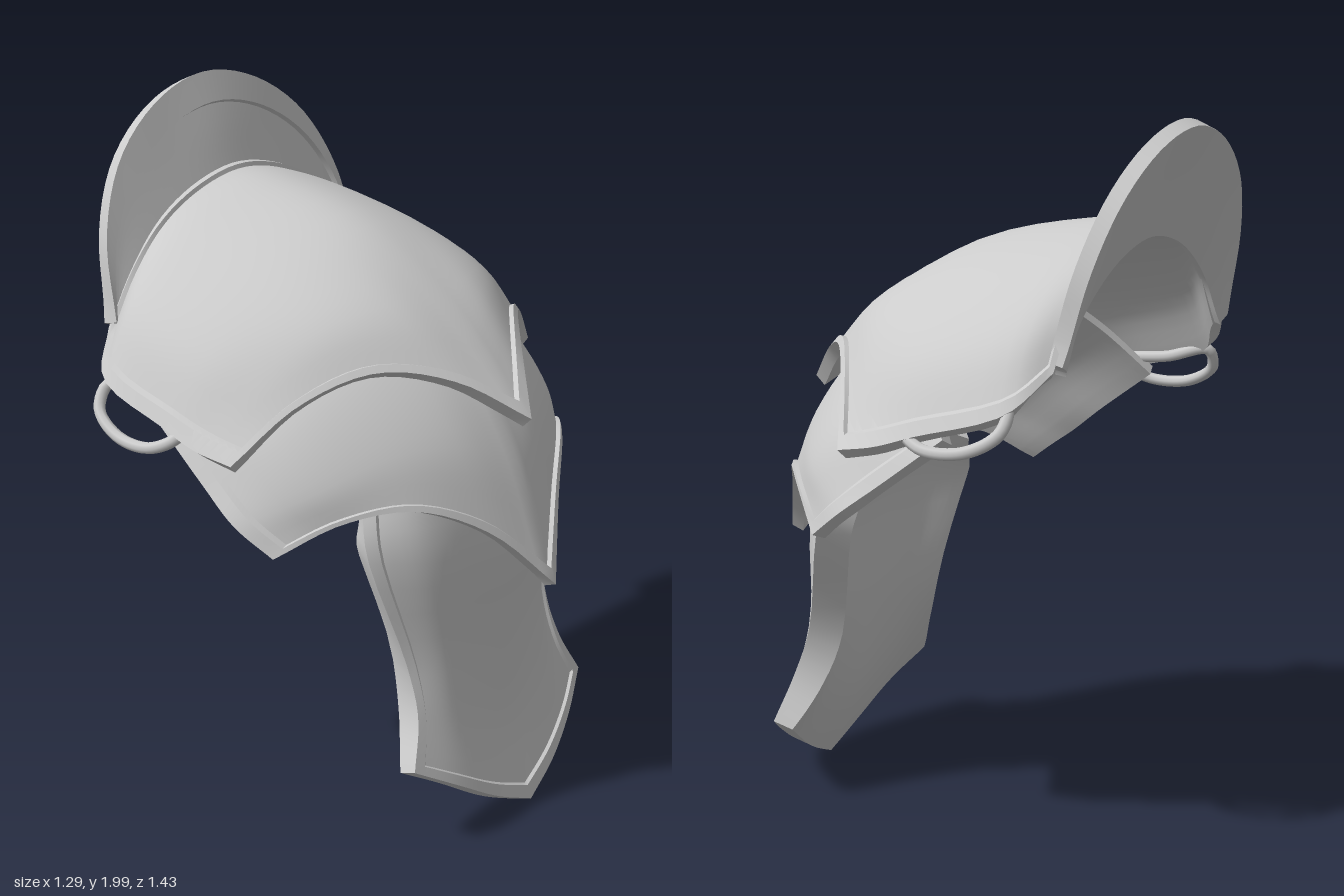
import * as THREE from 'three';
import { toCreasedNormals } from 'three/addons/utils/BufferGeometryUtils.js';

const material = new THREE.MeshStandardMaterial({ color: 0xcccccc, side: THREE.DoubleSide });

// Grid parameters over a..b, with a tight step near each end for the raised rim
function steps(a, b, n, rim) {
  const s = 0.008 * (b - a), list = [a, a + rim];
  for (let i = 0; i <= n; i++) list.push(a + rim + s + ((b - a - 2 * (rim + s)) * i) / n);
  return [...list, b - rim, b];
}

// Half cross-section curve from the ridge outwards; smooth ones run round over the ridge
function section(row, smooth) {
  const pts = row.map(p => new THREE.Vector3(...p));
  if (smooth) pts.unshift(pts[1].clone().multiply(new THREE.Vector3(1, 1, -1)));
  const curve = new THREE.CatmullRomCurve3(pts), start = smooth ? 1 : 0;
  return u => curve.getPoint((start + Math.min(1, u) * (row.length - 1)) / (pts.length - 1));
}

// Closed curved plate, mirrored across z = 0. The last few rows may come to a point at
// the ridge. Rows run so that the outer face lies on the u x v side.
function plate(name, rows, { thick, bump, pointed = 0, rimU = 0.05, rimV = 0.04, edges = [1, 1, 1] }) {
  const curves = rows.map((r, i) => section(r, i < rows.length - pointed));
  const at = (u, v) => {
    const p = new THREE.CatmullRomCurve3(curves.map(c => c(Math.abs(u)))).getPoint(v);
    if (u < 0) p.z = -p.z;
    return p;
  };
  const normal = (u, v) => {
    const e = 0.015, a = THREE.MathUtils.clamp(u, -1 + e, 1 - e), b = THREE.MathUtils.clamp(v, e, 1 - e);
    const du = at(a + e, b).sub(at(a - e, b)), dv = at(a, b + e).sub(at(a, b - e));
    return du.cross(dv).normalize();
  };
  const us = steps(-1, 1, 36, rimU), vs = steps(0, 1, 16, rimV);
  const n = us.length, m = vs.length, top = [], under = [], index = [];
  us.forEach((u, i) => vs.forEach((v, j) => {
    const p = at(u, v), d = normal(u, v);
    const side = edges[0] && (i < 2 || i > n - 3);
    const rim = side || (edges[1] && j < 2) || (edges[2] && j > m - 3);
    top.push(...p.clone().addScaledVector(d, rim ? 0 : -bump).toArray());
    under.push(...p.addScaledVector(d, -thick(v)).toArray());
  }));
  const id = (i, j) => i * m + j, off = n * m;
  const quad = (a, b, c, d) => index.push(a, b, c, a, c, d);
  for (let i = 0; i < n - 1; i++) for (let j = 0; j < m - 1; j++) {
    const a = id(i, j), b = id(i + 1, j), c = id(i + 1, j + 1), d = id(i, j + 1);
    quad(a, b, c, d);
    quad(d + off, c + off, b + off, a + off);
  }
  const wall = (p, q) => quad(q, p, p + off, q + off);
  for (let i = 0; i < n - 1; i++) {
    wall(id(i, 0), id(i + 1, 0));
    wall(id(i + 1, m - 1), id(i, m - 1));
  }
  for (let j = 0; j < m - 1; j++) {
    wall(id(n - 1, j), id(n - 1, j + 1));
    wall(id(0, j + 1), id(0, j));
  }
  const geo = new THREE.BufferGeometry();
  geo.setAttribute('position', new THREE.Float32BufferAttribute([...top, ...under], 3));
  geo.setIndex(index);
  const mesh = new THREE.Mesh(toCreasedNormals(geo, 0.6), material);
  mesh.name = name;
  return mesh;
}

export function createModel() {
  const model = new THREE.Group();
  model.name = 'shoulderArmor';

  // Shoulder plates lean very slightly about the x axis
  const shoulder = new THREE.Group();
  shoulder.name = 'shoulder';
  shoulder.rotation.x = 0.03;
  shoulder.position.z = -1.4 * Math.sin(0.03);
  model.add(shoulder);

  // Upper plate with a scalloped, pointed front edge
  shoulder.add(plate('upperPlate', [
    [[-.52, 1.74, 0], [-.52, 1.71, .17], [-.515, 1.64, .32], [-.51, 1.53, .44], [-.51, 1.38, .54]],
    [[-.36, 1.73, 0], [-.38, 1.69, .2], [-.40, 1.60, .39], [-.41, 1.46, .55], [-.43, 1.28, .65]],
    [[0, 1.645, 0], [-.02, 1.61, .2], [-.06, 1.52, .4], [-.12, 1.38, .58], [-.18, 1.2, .685]],
    [[.3, 1.45, 0], [.24, 1.48, .18], [.15, 1.45, .36], [.05, 1.33, .54], [-.06, 1.16, .69]],
    [[.56, 1.18, 0], [.42, 1.3, .15], [.28, 1.345, .32], [.16, 1.28, .5], [.06, 1.135, .675]],
  ], { thick: () => 0.04, bump: 0.012, pointed: 2 }));

  // Lower plate tucked under the upper one
  shoulder.add(plate('lowerPlate', [
    [[.05, 1.56, 0], [.02, 1.53, .18], [-.04, 1.45, .36], [-.13, 1.33, .53], [-.24, 1.19, .64]],
    [[.33, 1.35, 0], [.28, 1.35, .17], [.19, 1.31, .37], [.09, 1.18, .57], [-.06, 1.05, .66]],
    [[.51, 1.08, 0], [.45, 1.13, .17], [.35, 1.13, .36], [.23, 1.05, .55], [.06, .96, .67]],
    [[.645, .71, 0], [.54, .89, .16], [.425, .985, .34], [.3, .97, .5], [.165, .88, .635]],
  ], { thick: () => 0.04, bump: 0.012, pointed: 3, edges: [1, 0, 1] }));

  // Upright crescent guard rising out of the back edge
  const guard = plate('neckGuard', [
    [[-.605, 2, 0], [-.595, 1.95, .21], [-.57, 1.82, .39], [-.53, 1.63, .495], [-.48, 1.4, .525]],
    [[-.54, 1.85, 0], [-.54, 1.81, .19], [-.525, 1.71, .35], [-.505, 1.57, .46], [-.48, 1.39, .515]],
    [[-.48, 1.69, 0], [-.48, 1.66, .17], [-.475, 1.59, .31], [-.47, 1.49, .43], [-.475, 1.37, .51]],
  ], { thick: () => 0.045, bump: 0.016, rimV: 0.28, edges: [0, 1, 0] });
  guard.position.z = 0.012;
  shoulder.add(guard);

  // Strap loops below the side edges, the back one a little higher
  for (const s of [1, -1]) {
    const path = [[-.42, 1.26, .63], [-.42, 1.2, .67], [-.33, 1.145, .695], [-.2, 1.14, .695], [-.13, 1.18, .66], [-.16, 1.21, .62], [-.3, 1.23, .61]];
    const curve = new THREE.CatmullRomCurve3(path.map(([x, y, z]) => new THREE.Vector3(x, y, z * s + 0.01)), true);
    const loop = new THREE.Mesh(new THREE.TubeGeometry(curve, 48, 0.017, 8, true), material);
    loop.name = s > 0 ? 'frontStrapLoop' : 'backStrapLoop';
    loop.position.y = s > 0 ? 0 : 0.03;
    shoulder.add(loop);
  }

  // Long, thick, waisted upper-arm plate, turned slightly
  const arm = plate('armPlate', [
    [[.43, 1.08, 0], [.42, 1.07, .14], [.38, 1.04, .28], [.27, .99, .4]],
    [[.485, .82, 0], [.47, .83, .15], [.42, .84, .3], [.31, .86, .435]],
    [[.485, .52, 0], [.475, .52, .13], [.45, .52, .25], [.39, .52, .355]],
    [[.505, .27, 0], [.5, .3, .13], [.48, .34, .25], [.435, .38, .365]],
    [[.58, .025, 0], [.56, .09, .15], [.525, .17, .29], [.47, .25, .43]],
  ], { thick: v => 0.1 - 0.04 * v ** 4, bump: 0.008, pointed: 1, rimU: 0.07, edges: [1, 0, 1] });
  arm.rotation.y = 0.06;
  arm.position.z = 0.015;
  model.add(arm);

  return model;
}
